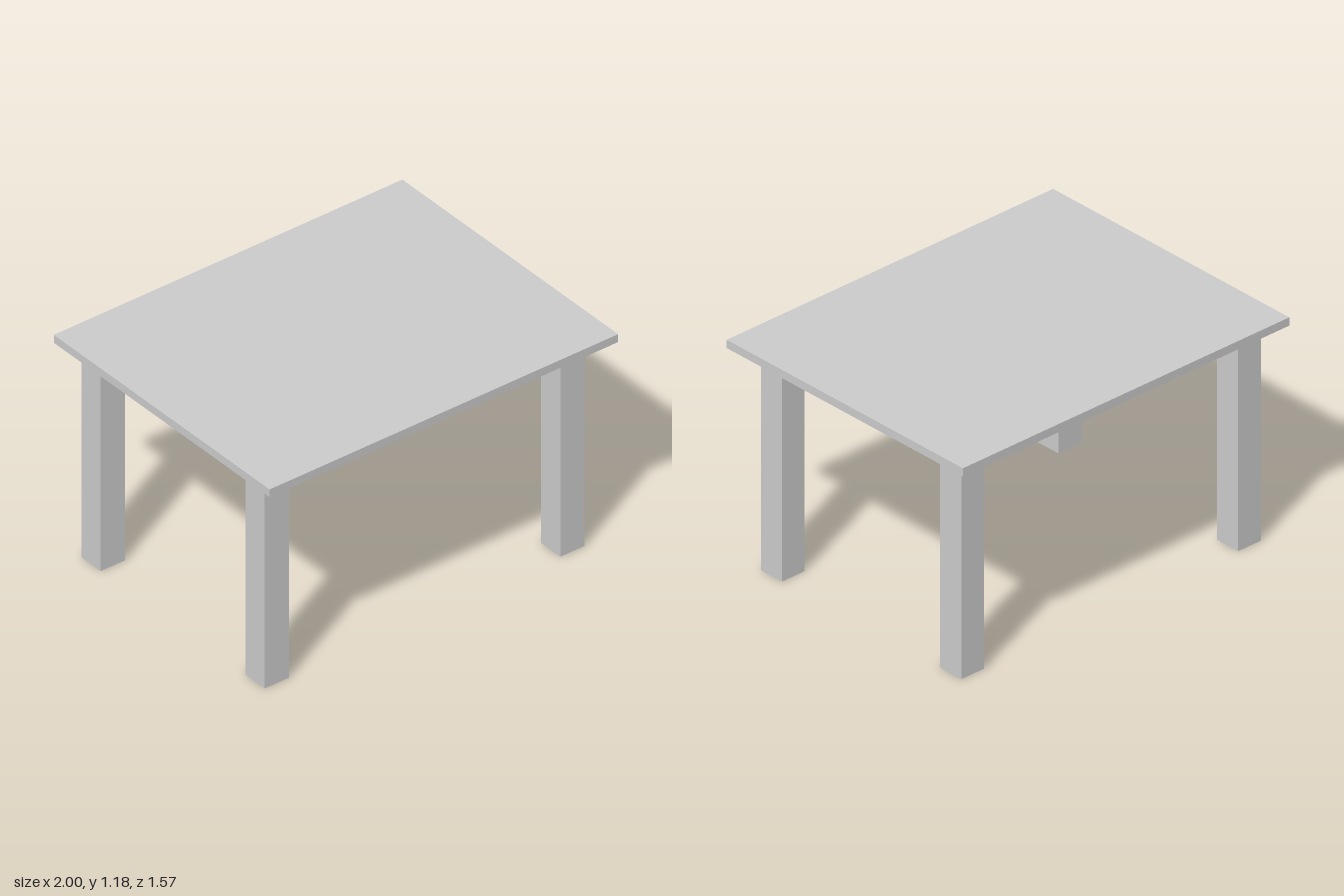
import * as THREE from 'three';

export function createModel() {
  const table = new THREE.Group();
  table.name = 'table';
  const material = new THREE.MeshStandardMaterial({ color: 0xcccccc, flatShading: true });
  const openMaterial = material.clone();
  openMaterial.side = THREE.DoubleSide;

  const add = (name, geometry, mat, x, y, z) => {
    const mesh = new THREE.Mesh(geometry, mat);
    mesh.name = name;
    mesh.position.set(x, y, z);
    table.add(mesh);
  };

  // Table top
  const topBottom = 1.14, topThickness = 0.043;
  add('tableTop', new THREE.BoxGeometry(2, topThickness, 1.57), material,
    0, topBottom + topThickness / 2, 0);

  // Apron block under the top, set slightly in from the outer leg faces
  const cx = -0.012, cz = -0.006, apronHeight = 0.087;
  add('apron', new THREE.BoxGeometry(1.795, apronHeight, 1.29), material,
    cx, topBottom - apronHeight / 2, cz);

  // Hollow square legs: a box without its top and bottom faces
  const legGeometry = new THREE.BoxGeometry(0.14, topBottom, 0.14);
  const index = Array.from(legGeometry.index.array);
  index.splice(12, 12);
  legGeometry.setIndex(index);
  legGeometry.clearGroups();

  for (const [side, sx] of [['Left', 1], ['Right', -1]]) {
    for (const [end, sz] of [['front', 1], ['back', -1]]) {
      add(`${end}${side}Leg`, legGeometry, openMaterial,
        cx + sx * 0.848, topBottom / 2, cz + sz * 0.596);
    }
  }
  return table;
}
